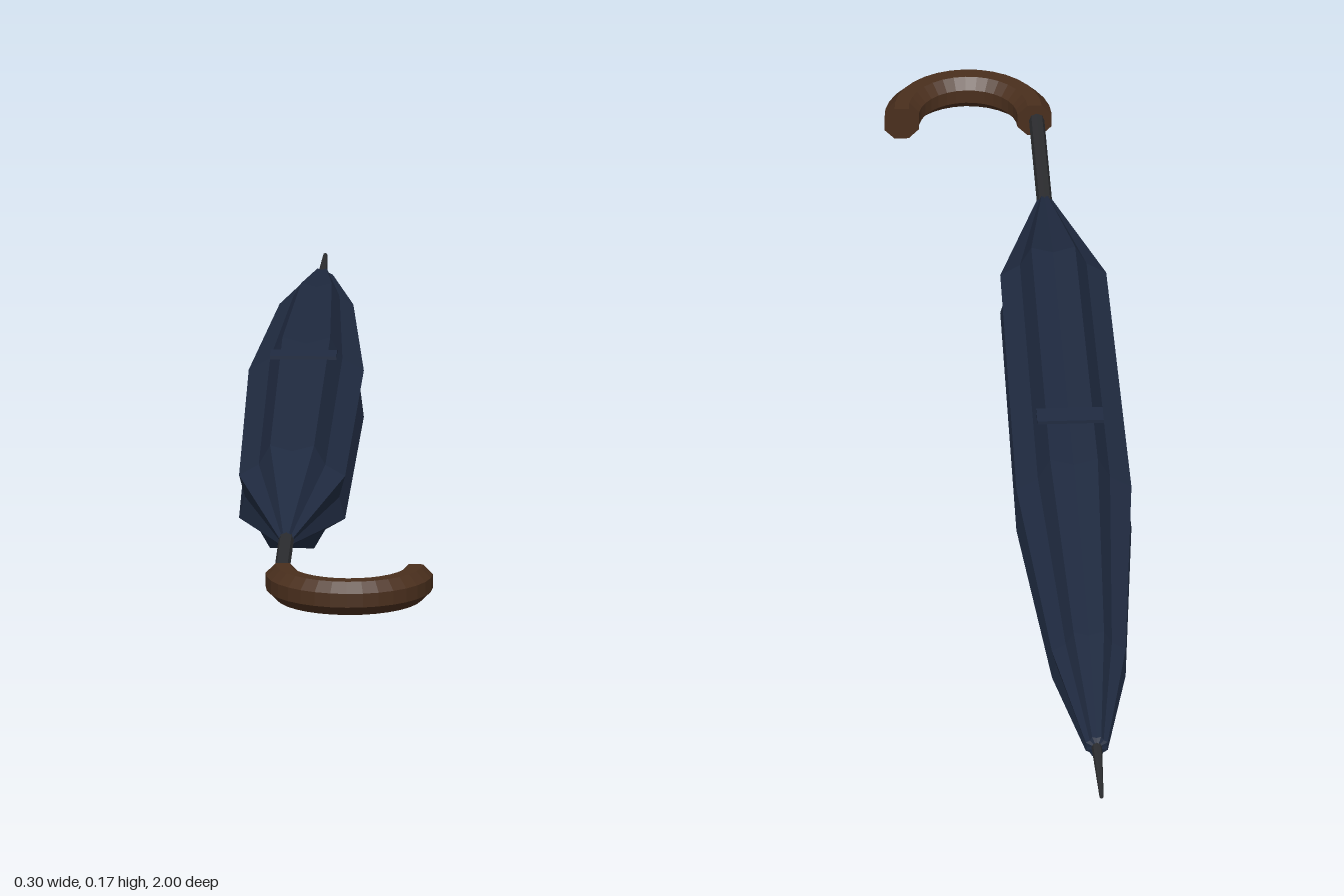
import * as THREE from 'three';

const AXIS_X = -0.068, AXIS_Y = 0.084;

// Star-section loft along z: rings are [z, tipRadius]; zero radius closes an end
function starLoft(rings, points, valley) {
  const n = points * 2, pos = [], idx = [];
  for (const [z, r] of rings) {
    for (let j = 0; j < n; j++) {
      const a = (j / n) * Math.PI * 2 + Math.PI / points;
      const rad = j % 2 === 0 ? r : r * valley;
      pos.push(rad * Math.cos(a), rad * Math.sin(a), z);
    }
  }
  for (let i = 0; i < rings.length - 1; i++) {
    for (let j = 0; j < n; j++) {
      const k = (j + 1) % n;
      const a = i * n + j, b = i * n + k, c = a + n, d = b + n;
      idx.push(a, c, b, c, d, b);
    }
  }
  const g = new THREE.BufferGeometry();
  g.setAttribute('position', new THREE.Float32BufferAttribute(pos, 3));
  g.setIndex(idx);
  const flat = g.toNonIndexed();
  flat.computeVertexNormals();
  return flat;
}

export function createModel() {
  const group = new THREE.Group();
  const material = (name, color) => {
    const m = new THREE.MeshStandardMaterial({ color, flatShading: true });
    m.name = name;
    return m;
  };
  const navy = material('navyFabric', 0x202b41);
  const metal = material('darkMetal', 0x2c2d30);
  const wood = material('brownWood', 0x4a2f1d);

  const add = (name, geometry, mat, x, y, z) => {
    const mesh = new THREE.Mesh(geometry, mat);
    mesh.name = name;
    mesh.position.set(x, y, z);
    group.add(mesh);
    return mesh;
  };

  // Furled canopy with eight folded ribs
  const rings = [[0.65, 0], [0.65, 0.012], [0.4, 0.082], [-0.2, 0.089],
    [-0.63, 0.057], [-0.86, 0.017], [-0.865, 0]];
  add('canopy', starLoft(rings, 8, 0.82), navy, AXIS_X, AXIS_Y, 0);

  // Closing strap across the top fold
  add('strap', new THREE.BoxGeometry(0.095, 0.005, 0.036), navy, AXIS_X, 0.17, -0.085);

  // Shaft and tapered tip, both along z
  const rod = (name, rFront, rBack, zFront, zBack) => {
    const g = new THREE.CylinderGeometry(rFront, rBack, zFront - zBack, 8);
    g.rotateX(Math.PI / 2);
    add(name, g, metal, AXIS_X, AXIS_Y, (zFront + zBack) / 2);
  };
  rod('shaft', 0.011, 0.011, 0.9, -0.85);
  rod('tip', 0.008, 0.003, -0.85, -1);

  // Crook handle: octagon swept around a half circle in the horizontal plane
  const octagon = new THREE.Shape();
  for (let i = 0; i < 8; i++) {
    const a = ((i + 0.5) / 8) * Math.PI * 2;
    const x = 0.0265 * Math.cos(a), y = 0.0265 * Math.sin(a);
    if (i === 0) octagon.moveTo(x, y); else octagon.lineTo(x, y);
  }
  octagon.closePath();
  class Crook extends THREE.Curve {
    getPoint(t, target = new THREE.Vector3()) {
      const a = Math.PI * (1 - t);
      return target.set(0.095 * Math.cos(a), 0, 0.095 * Math.sin(a));
    }
  }
  const crook = new THREE.ExtrudeGeometry(octagon, { steps: 16, extrudePath: new Crook(), bevelEnabled: false });
  add('handle', crook, wood, 0.03, AXIS_Y, 0.879);

  return group;
}
